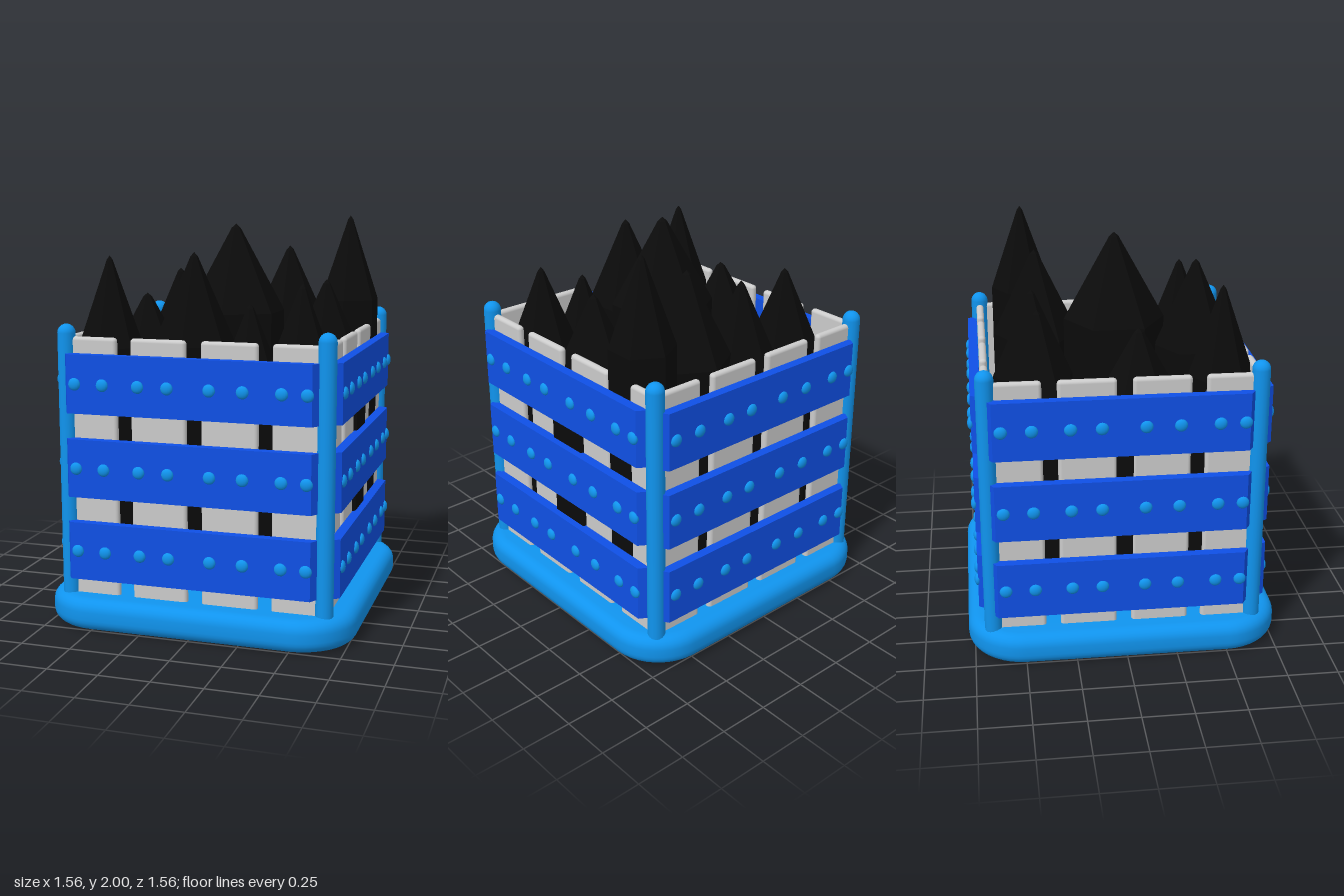
import * as THREE from 'three';
import { toCreasedNormals } from 'three/addons/utils/BufferGeometryUtils.js';
import { RoundedBoxGeometry } from 'three/addons/geometries/RoundedBoxGeometry.js';

const trim = new THREE.MeshStandardMaterial({ color: 0x1094ee });
const blue = new THREE.MeshStandardMaterial({ color: 0x0f50e6 });
const grey = new THREE.MeshStandardMaterial({ color: 0xcccccc });
const black = new THREE.MeshStandardMaterial({ color: 0x0b0b0b, flatShading: true });

function add(parent, name, geometry, material, x = 0, y = 0, z = 0) {
  const mesh = new THREE.Mesh(geometry, material);
  mesh.name = name;
  mesh.position.set(x, y, z);
  parent.add(mesh);
  return mesh;
}

// Rounded square tray with a softly bevelled rim
function baseGeometry() {
  const bevel = 0.06, h = 0.78 - bevel, r = 0.22, q = Math.PI / 2;
  const s = new THREE.Shape();
  s.absarc(h - r, h - r, r, 0, q);
  s.absarc(r - h, h - r, r, q, 2 * q);
  s.absarc(r - h, r - h, r, 2 * q, 3 * q);
  s.absarc(h - r, r - h, r, 3 * q, 4 * q);
  s.closePath();
  const g = new THREE.ExtrudeGeometry(s, {
    depth: 0.16 - 2 * bevel, bevelSize: bevel, bevelThickness: bevel, bevelSegments: 6, curveSegments: 5,
  });
  g.rotateX(-Math.PI / 2).translate(0, bevel, 0);
  return toCreasedNormals(g, 0.6);
}

// Band with ends that taper towards the outside
function bandGeometry() {
  const s = new THREE.Shape();
  s.moveTo(-0.65, -0.665);
  s.lineTo(0.62, -0.665);
  s.lineTo(0.59, -0.713);
  s.lineTo(-0.62, -0.713);
  s.closePath();
  const g = new THREE.ExtrudeGeometry(s, { depth: 0.288, bevelEnabled: false });
  return g.rotateX(-Math.PI / 2).translate(0, -0.144, 0);
}

export function createModel() {
  const model = new THREE.Group();
  model.name = 'crateOfCrystals';
  add(model, 'base', baseGeometry(), trim);

  // Four matching walls around the crate centre
  const crate = new THREE.Group();
  crate.name = 'crate';
  crate.position.z = -0.01;
  model.add(crate);

  const band = bandGeometry();
  const rivet = new THREE.SphereGeometry(0.031, 14, 10).scale(1, 1, 0.55);
  const post = new THREE.CapsuleGeometry(0.044, 1.312, 6, 16);
  const slats = [[-0.63, -0.384], [-0.313, -0.034], [0.04, 0.32], [0.388, 0.635]];
  const rivetX = [-0.58, -0.437, -0.257, -0.11, 0.098, 0.26, 0.447, 0.568];

  ['front', 'left', 'back', 'right'].forEach((side, i) => {
    const wall = new THREE.Group();
    wall.name = side + 'Wall';
    wall.rotation.y = i * Math.PI / 2;
    crate.add(wall);
    for (const [a, b] of slats) {
      add(wall, 'slat', new RoundedBoxGeometry(b - a, 1.34, 0.038, 3, 0.018), grey, (a + b) / 2, 0.77, 0.644);
    }
    for (const y of [0.387, 0.802, 1.217]) {
      add(wall, 'band', band, blue, 0, y, 0);
      for (const x of rivetX) add(wall, 'rivet', rivet, trim, x, y, 0.713);
    }
    add(wall, 'cornerPost', post, trim, 0.645, 0.8, 0.645);
  });

  // Six-sided crystals: x, z, radius, tip height
  const crystals = [
    [-0.42, -0.395, 0.2, 1.71], [-0.11, -0.405, 0.2, 1.72], [0.21, -0.37, 0.22, 1.84],
    [0.525, -0.425, 0.16, 2], [-0.435, 0.085, 0.257, 1.61], [0.025, 0.02, 0.256, 1.965],
    [0.49, -0.02, 0.218, 1.69], [-0.48, 0.475, 0.16, 1.82], [-0.065, 0.42, 0.203, 1.84],
    [0.22, 0.43, 0.19, 1.6], [0.475, 0.43, 0.183, 1.7],
  ];
  const pile = new THREE.Group();
  pile.name = 'crystals';
  model.add(pile);
  for (const [x, z, r, top] of crystals) {
    const profile = [[0, 0.25], [r, 0.25], [r, top - 0.44], [r * 0.09, top - 0.02], [0, top]];
    const g = new THREE.LatheGeometry(profile.map(([px, py]) => new THREE.Vector2(px, py)), 6);
    add(pile, 'crystal', g, black, x, 0, z);
  }
  return model;
}
